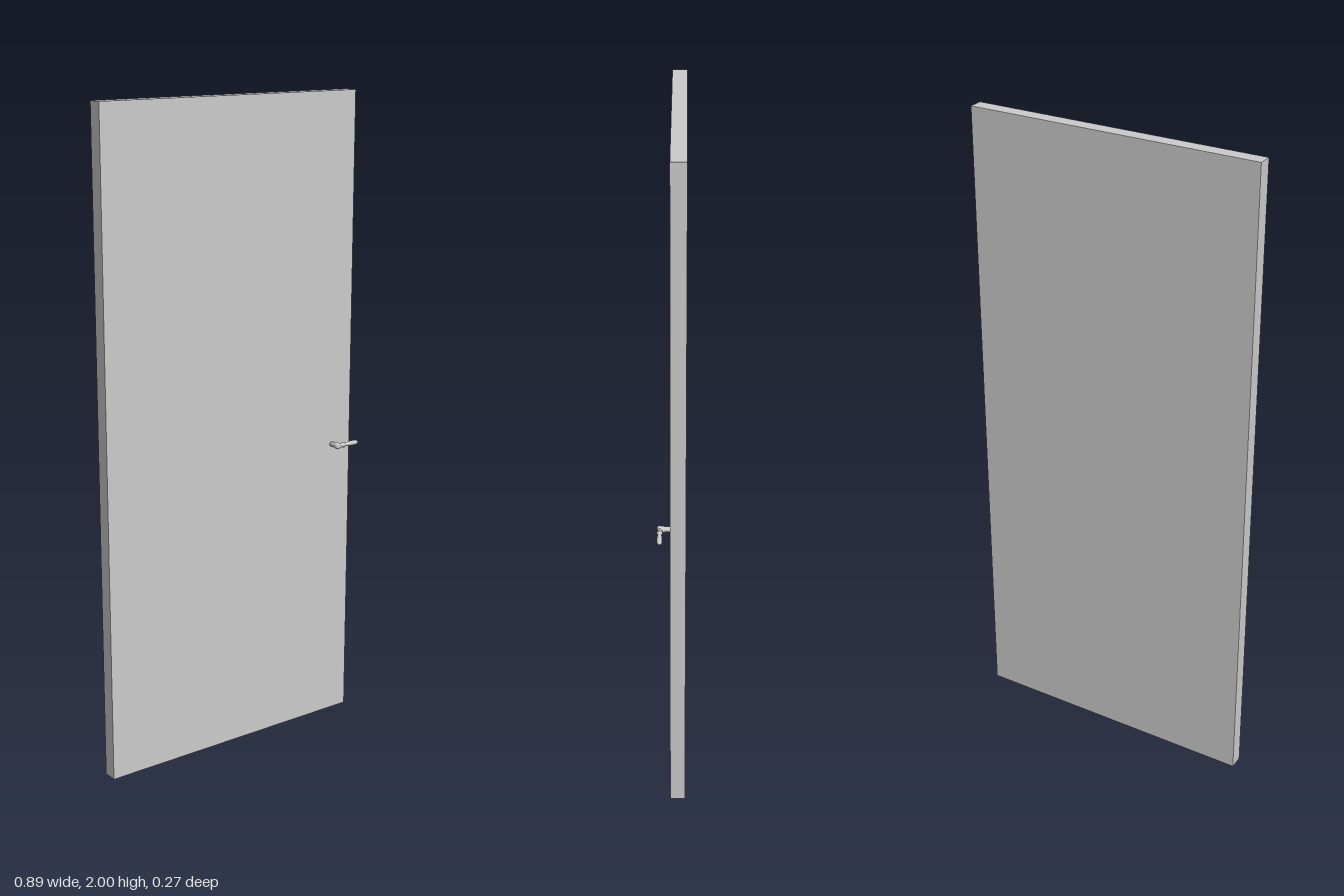
import * as THREE from 'three';

export function createModel() {
  const material = new THREE.MeshStandardMaterial({ color: 0xcccccc });
  const model = new THREE.Group();
  model.name = 'door';

  // Everything is built square, then swung ajar about the vertical axis
  const leaf = new THREE.Group();
  leaf.name = 'doorLeaf';
  leaf.position.set(-0.001, 0, -0.018);
  leaf.rotation.y = -0.2155;
  model.add(leaf);

  const add = (name, geometry, parent) => {
    const mesh = new THREE.Mesh(geometry, material);
    mesh.name = name;
    parent.add(mesh);
    return mesh;
  };
  const lathe = (points) =>
    new THREE.LatheGeometry(points.map(([r, y]) => new THREE.Vector2(r, y)), 24);

  // Door panel
  add('panel', new THREE.BoxGeometry(0.906, 2, 0.044), leaf).position.y = 1;

  // Handle: a spindle standing off the front face
  const handle = new THREE.Group();
  handle.name = 'handle';
  handle.position.set(0.381, 0.907, 0.022);
  leaf.add(handle);

  const spindle = add('spindle', lathe([
    [0, -0.002], [0.0075, -0.002], [0.0078, 0.012], [0.0095, 0.024],
    [0.0105, 0.031], [0.0095, 0.035], [0.006, 0.037], [0, 0.037],
  ]), handle);
  spindle.rotation.x = Math.PI / 2;

  // Lever: neck, collar and swelling grip, reaching toward the free edge
  const lever = add('lever', lathe([
    [0, 0], [0.007, 0.001], [0.0065, 0.014], [0.006, 0.02],
    [0.0085, 0.021], [0.0085, 0.025], [0.0055, 0.027], [0.0055, 0.032],
    [0.0068, 0.042], [0.0078, 0.055], [0.008, 0.066], [0.007, 0.075],
    [0.0045, 0.08], [0, 0.082],
  ]), handle);
  lever.rotation.z = -Math.PI / 2;
  lever.position.z = 0.03;

  return model;
}
